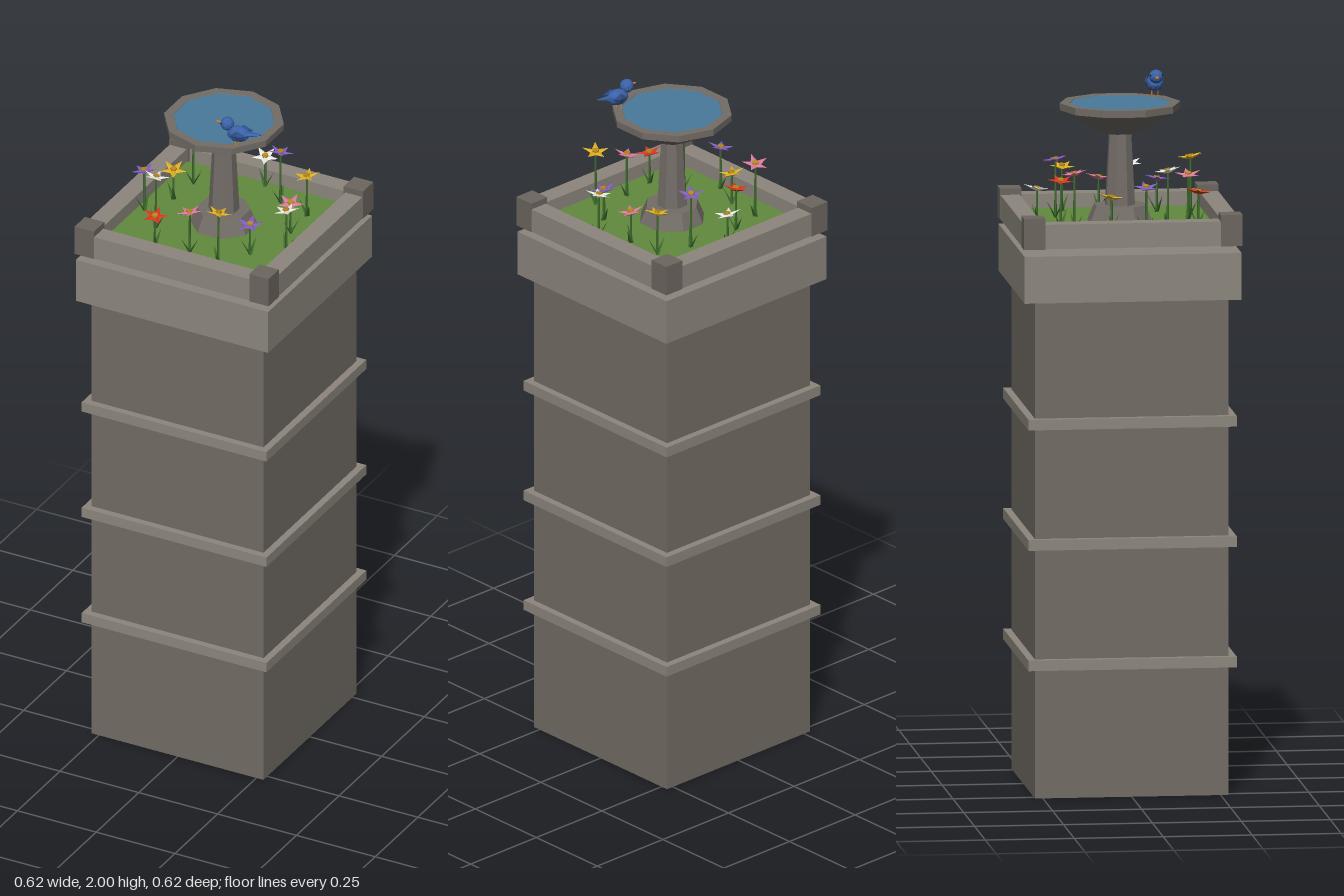
import * as THREE from 'three';

const mat = (color) => new THREE.MeshStandardMaterial({ color, flatShading: true });
const M = {
  wall: mat(0x726c64), trim: mat(0x8c867d), post: mat(0x6d665f), stone: mat(0x736d67),
  grass: mat(0x628a3e), water: mat(0x4a7a9b), stem: mat(0x3c6a2c), gold: mat(0xb8871c),
  bird: mat(0x3a62a8), wing: mat(0x2f4f8c), beak: mat(0xe07b2a),
  pink: mat(0xd9789a), red: mat(0xd8341f), white: mat(0xe8e8e2), purple: mat(0x7d5cc0), yellow: mat(0xdcae22),
};

function add(parent, name, geo, material, x = 0, y = 0, z = 0) {
  const m = new THREE.Mesh(geo, material);
  m.name = name;
  m.position.set(x, y, z);
  parent.add(m);
  return m;
}

// Box standing between two heights
function slab(parent, name, material, w, d, y0, y1, x = 0, z = 0) {
  return add(parent, name, new THREE.BoxGeometry(w, y1 - y0, d), material, x, (y0 + y1) / 2, z);
}

const GRASS_Y = 1.585;

function makeTower(root) {
  const g = new THREE.Group();
  g.name = 'tower';
  slab(g, 'shaft', M.wall, 0.545, 0.545, 0, 1.403);
  for (const y of [0.378, 0.718, 1.058]) slab(g, 'stoneBand', M.trim, 0.586, 0.586, y - 0.015, y + 0.015);
  slab(g, 'cornice', M.trim, 0.61, 0.61, 1.403, 1.535);
  root.add(g);
}

function makeParapet(root) {
  const g = new THREE.Group();
  g.name = 'parapet';
  slab(g, 'lawn', M.grass, 0.51, 0.51, 1.556, GRASS_Y);
  for (const s of [-1, 1]) {
    slab(g, 'parapetWall', M.trim, 0.61, 0.054, 1.556, 1.625, 0, s * 0.279);
    slab(g, 'parapetWall', M.trim, 0.054, 0.51, 1.556, 1.625, s * 0.279, 0);
    for (const t of [-1, 1]) slab(g, 'cornerPost', M.post, 0.061, 0.061, 1.555, 1.643, s * 0.277, t * 0.277);
  }
  root.add(g);
}

function makeBirdBath(root) {
  const g = new THREE.Group();
  g.name = 'birdBath';
  const plinth = add(g, 'plinth', new THREE.CylinderGeometry(0.075, 0.095, 0.047, 8), M.stone, 0, GRASS_Y + 0.0235, 0);
  const column = add(g, 'column', new THREE.CylinderGeometry(0.032, 0.044, 0.22, 8), M.stone, 0, 1.735, 0);
  plinth.rotation.y = column.rotation.y = Math.PI / 8;
  // Shallow ten-sided bowl with a raised lip
  const profile = [[0, 1.835], [0.05, 1.835], [0.169, 1.9], [0.17, 1.92], [0.144, 1.92], [0.138, 1.908], [0, 1.908]]
    .map(([r, y]) => new THREE.Vector2(r, y));
  add(g, 'bowl', new THREE.LatheGeometry(profile, 10), M.stone);
  add(g, 'water', new THREE.CylinderGeometry(0.143, 0.139, 0.008, 10), M.water, 0, 1.914, 0);
  root.add(g);
}

function makeFlower(color, x, z, headY, i) {
  const g = new THREE.Group();
  g.name = 'flower';
  g.position.set(x, GRASS_Y, z);
  const h = headY - GRASS_Y;
  add(g, 'stem', new THREE.CylinderGeometry(0.003, 0.004, h, 5), M.stem, 0, h / 2, 0);

  // Pair of leaning blades
  for (const s of [-1, 1]) {
    const pivot = new THREE.Group();
    pivot.rotation.set(0, i * 1.3 + (s > 0 ? 0 : 2.4), -0.5);
    const leaf = add(pivot, 'leaf', new THREE.ConeGeometry(0.008, 0.055, 4), M.stem, 0, 0.027, 0);
    leaf.scale.x = 0.4;
    g.add(pivot);
  }

  // Star of five ridged petals around a gold heart
  const head = new THREE.Group();
  head.name = 'blossom';
  head.position.y = h;
  head.rotation.set(0.2 * Math.sin(i * 2.1), 0.25 * Math.sin(i * 1.7), 0.2 * Math.cos(i * 2.1));
  const petal = new THREE.ConeGeometry(0.012, 0.034, 4);
  petal.scale(1, 1, 0.45);
  petal.rotateX(-Math.PI / 2);
  petal.translate(0, 0, -0.023);
  petal.rotateX(0.2);
  for (let k = 0; k < 5; k++) add(head, 'petal', petal, color).rotation.y = (k * Math.PI * 2) / 5;
  add(head, 'flowerHeart', new THREE.CylinderGeometry(0.009, 0.011, 0.012, 6), M.gold, 0, 0.004, 0);
  g.add(head);
  return g;
}

function makeFlowers(root) {
  const bed = new THREE.Group();
  bed.name = 'flowerBed';
  const spots = [
    ['white', 0.228, 0.055], ['purple', 0.148, 0.121], ['yellow', 0.096, 0.21], ['pink', -0.005, 0.191],
    ['red', -0.107, 0.207], ['white', -0.153, 0.116], ['purple', -0.228, 0.046], ['yellow', -0.185, -0.046],
    ['pink', -0.178, -0.15], ['red', -0.08, -0.176], ['white', 0.005, -0.233], ['purple', 0.087, -0.171],
    ['yellow', 0.187, -0.141], ['pink', 0.191, -0.037],
  ];
  const heights = [1.71, 1.677, 1.745];
  spots.forEach(([c, x, z], i) => bed.add(makeFlower(M[c], x, z, heights[i % 3], i)));
  root.add(bed);
}

function makeBird(root) {
  // Perched on the rim, beak toward -x
  const g = new THREE.Group();
  g.name = 'bird';
  g.position.set(0.1, 1.92, 0.11);
  const body = add(g, 'body', new THREE.IcosahedronGeometry(0.03, 1), M.bird, 0.005, 0.036, 0);
  body.scale.set(1.15, 0.78, 0.8);
  body.rotation.z = 0.1;
  add(g, 'head', new THREE.IcosahedronGeometry(0.02, 1), M.bird, -0.03, 0.059, 0);
  const beak = add(g, 'beak', new THREE.ConeGeometry(0.006, 0.022, 5), M.beak, -0.058, 0.058, 0);
  beak.rotation.z = Math.PI / 2;
  const tail = add(g, 'tail', new THREE.ConeGeometry(0.02, 0.07, 5), M.bird, 0.055, 0.046, 0);
  tail.rotation.z = -Math.PI / 2 + 0.22;
  tail.scale.z = 0.9;
  tail.scale.x = 0.45;
  for (const s of [-1, 1]) {
    const wing = add(g, 'wing', new THREE.OctahedronGeometry(0.026), M.wing, 0.014, 0.04, s * 0.021);
    wing.scale.set(1.1, 0.6, 0.25);
    wing.rotation.z = 0.2;
    add(g, 'leg', new THREE.CylinderGeometry(0.002, 0.002, 0.02, 4), M.beak, 0, 0.008, s * 0.009);
    add(g, 'eye', new THREE.OctahedronGeometry(0.003), mat(0x111111), -0.04, 0.064, s * 0.016);
  }
  root.add(g);
}

export function createModel() {
  const root = new THREE.Group();
  root.name = 'rooftopGardenTower';
  makeTower(root);
  makeParapet(root);
  makeBirdBath(root);
  makeFlowers(root);
  makeBird(root);
  return root;
}
